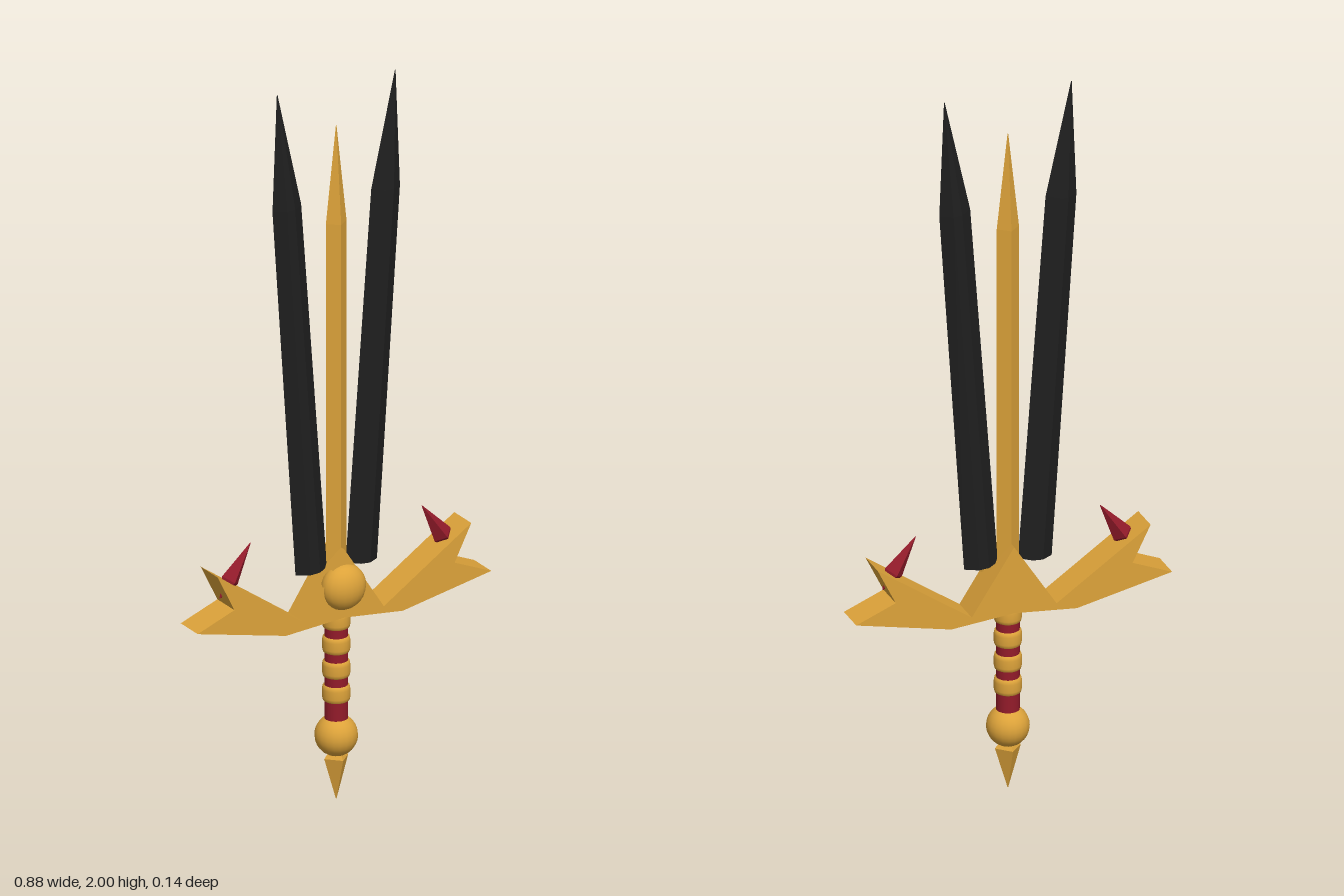
import * as THREE from 'three';

const Z = -0.013; // depth of the sword's main axis

const gold = new THREE.MeshStandardMaterial({ color: 0xdda33a });
gold.name = 'gold';
const red = new THREE.MeshStandardMaterial({ color: 0x931b2a });
red.name = 'red';
const black = new THREE.MeshStandardMaterial({ color: 0x1f1f1f });
black.name = 'black';

// Faceted solid through horizontal sections, each a list of [x, y, z] corners
function loft(sections) {
  const pos = [];
  const n = sections[0].length;
  const tri = (a, b, c) => pos.push(...a, ...b, ...c);
  for (let k = 0; k < sections.length - 1; k++) {
    const lo = sections[k], hi = sections[k + 1];
    for (let i = 0; i < n; i++) {
      const j = (i + 1) % n;
      tri(lo[i], hi[j], hi[i]);
      tri(lo[i], lo[j], hi[j]);
    }
  }
  const first = sections[0], last = sections[sections.length - 1];
  for (let i = 1; i < n - 1; i++) {
    tri(first[0], first[i + 1], first[i]);
    tri(last[0], last[i], last[i + 1]);
  }
  const g = new THREE.BufferGeometry();
  g.setAttribute('position', new THREE.Float32BufferAttribute(pos, 3));
  g.computeVertexNormals();
  return g;
}

// Flat hexagonal blade section: sharp edges in x, flat faces front and back
function hexSection(cx, y, half, flat, depth) {
  return [[half, 0], [flat, -depth], [-flat, -depth], [-half, 0], [-flat, depth], [flat, depth]]
    .map(([x, z]) => [cx + x, y - x * Math.sign(cx) * 0.07, z]);
}

// Four-sided section with corners on the x and z axes
function diamondSection(y, rx, rz) {
  return [[rx, 0], [0, -rz], [-rx, 0], [0, rz]].map(([x, z]) => [x, y, z]);
}

export function createModel() {
  const group = new THREE.Group();
  const add = (name, geometry, material, x = 0, y = 0, z = Z) => {
    const mesh = new THREE.Mesh(geometry, material);
    mesh.name = name;
    mesh.position.set(x, y, z);
    group.add(mesh);
    return mesh;
  };

  // Two splayed outer blades
  for (const s of [1, -1]) {
    add(s > 0 ? 'leftBlade' : 'rightBlade', loft([
      hexSection(s * 0.075, 0.65, 0.047, 0.014, 0.023),
      hexSection(s * 0.148, 1.678, 0.043, 0.012, 0.023),
      hexSection(s * 0.177, 2.0, 0.001, 0.0005, 0.001),
    ]), black);
  }

  // Slim central blade
  add('centreBlade', loft([
    diamondSection(0.6, 0.031, 0.026),
    diamondSection(1.61, 0.031, 0.026),
    diamondSection(1.88, 0.001, 0.001),
  ]), gold);

  // Winged crossguard, cut from one mirrored outline
  const half = [[0.118, 0.528], [0.38, 0.708], [0.33, 0.607], [0.44, 0.562], [0.175, 0.504]];
  const outline = [
    [0, 0.71], ...half, [0, 0.52],
    ...half.slice().reverse().map(([x, y]) => [-x, y]),
  ];
  const guardShape = new THREE.Shape(outline.map(([x, y]) => new THREE.Vector2(x, y)));
  add('crossguard', new THREE.ExtrudeGeometry(guardShape, { depth: 0.088, bevelEnabled: false }),
    gold, 0, 0, -0.058);

  // Round boss on the front of the guard
  add('guardBoss', new THREE.SphereGeometry(0.063, 20, 14), gold, 0, 0.605, 0.024).scale.z = 0.74;

  // Double-pointed thorns piercing the wings
  for (const s of [1, -1]) {
    const foot = new THREE.Vector3(s * 0.349, 0.628, Z);
    const dir = new THREE.Vector3(s * 0.257, 0.766, Z).sub(foot);
    const length = dir.length();
    const thorn = add(s > 0 ? 'leftThorn' : 'rightThorn', loft([
      diamondSection(0, 0.001, 0.001),
      diamondSection(0.055, 0.028, 0.026),
      diamondSection(length, 0.001, 0.001),
    ]), red, ...foot);
    thorn.quaternion.setFromUnitVectors(new THREE.Vector3(0, 1, 0), dir.normalize());
  }

  // Grip with rounded rings
  add('grip', new THREE.CylinderGeometry(0.031, 0.031, 0.33, 20), red, 0, 0.365);
  const ringProfile = [[0.03, -0.023], [0.035, -0.02], [0.037, -0.011], [0.037, 0.011], [0.035, 0.02], [0.03, 0.023]]
    .map(([x, y]) => new THREE.Vector2(x, y));
  for (const y of [0.298, 0.366, 0.434, 0.502]) {
    add('gripRing', new THREE.LatheGeometry(ringProfile, 20), gold, 0, y);
  }

  // Pommel ball and double-pointed end
  add('pommel', new THREE.SphereGeometry(0.057, 20, 14), gold, 0, 0.179);
  add('pommelSpike', loft([
    diamondSection(0, 0.001, 0.001),
    diamondSection(0.117, 0.036, 0.036),
    diamondSection(0.16, 0.001, 0.001),
  ]), gold);

  return group;
}
